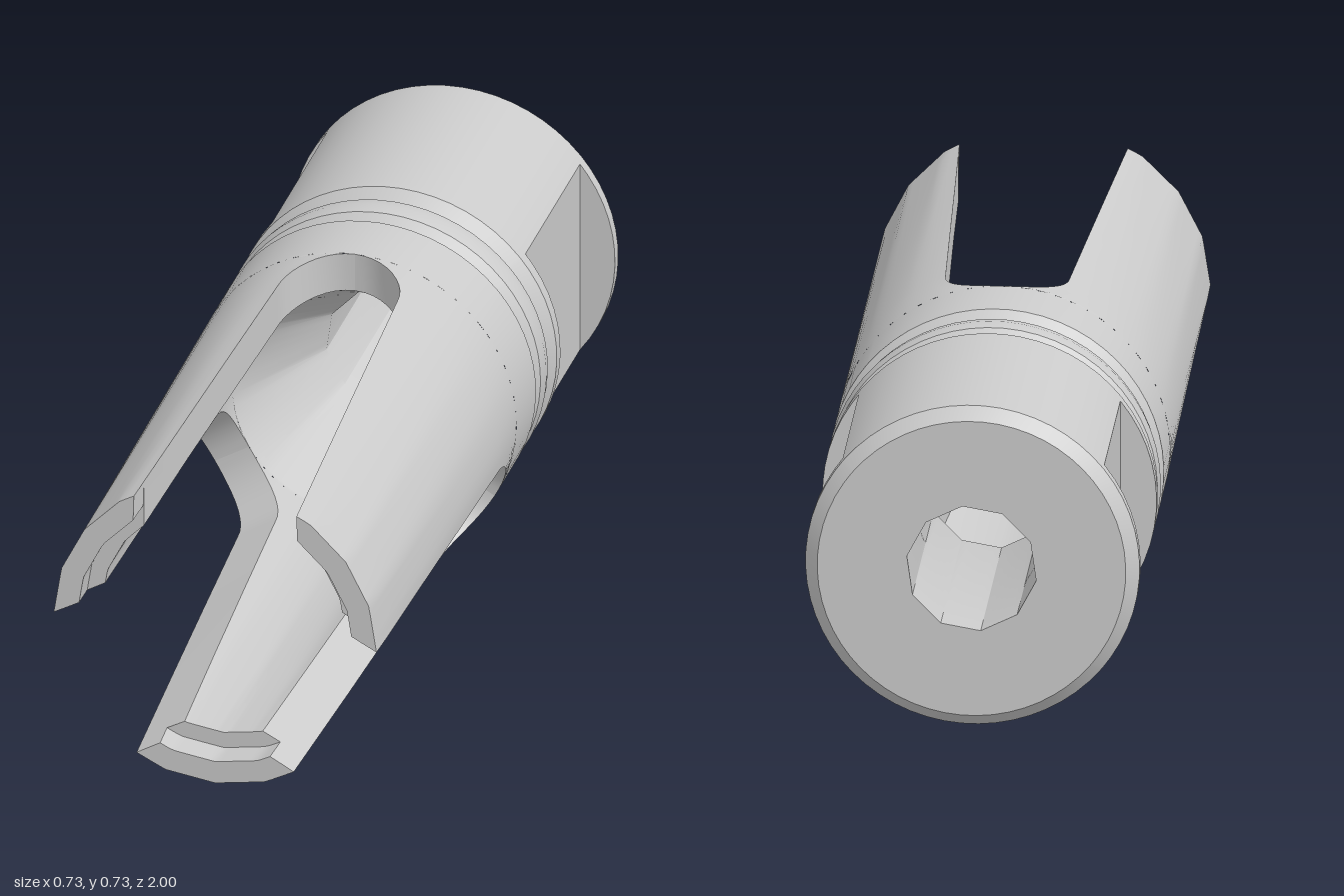
import * as THREE from 'three';
import { toCreasedNormals } from 'three/addons/utils/BufferGeometryUtils.js';

const R = 0.364, BORE = 0.275, RECESS = 0.312, HOLE = 0.143, FLAT = 0.285, SLOT_END = -0.14;
const rad = THREE.MathUtils.degToRad;

// radius at angle t of an n-sided polygon with a corner at angle off
function polyRadius(r, t, n, off) {
  const step = (2 * Math.PI) / n;
  const m = (((t - off) % step) + step) % step;
  return (r * Math.cos(step / 2)) / Math.cos(m - step / 2);
}

// skin a list of closed rings of Vector3
function skin(rings, material) {
  const pos = [];
  const tri = new THREE.Triangle();
  const add = (a, b, c) => {
    if (tri.set(a, b, c).getArea() > 1e-9) for (const p of [a, b, c]) pos.push(p.x, p.y, p.z);
  };
  for (let i = 0; i < rings.length - 1; i++) {
    const n = rings[i].length;
    for (let j = 0; j < n; j++) {
      const k = (j + 1) % n;
      add(rings[i][j], rings[i + 1][j], rings[i][k]);
      add(rings[i + 1][j], rings[i + 1][k], rings[i][k]);
    }
  }
  const geo = new THREE.BufferGeometry();
  geo.setAttribute('position', new THREE.Float32BufferAttribute(pos, 3));
  return new THREE.Mesh(toCreasedNormals(geo, 0.6), material);
}

// half width of a slot: tapering, with a round inner end
function slotHalfWidth(z) {
  if (z >= 0) return 0.135 + 0.05 * z;
  return 0.135 * Math.sqrt(Math.max(0, 1 - (z / SLOT_END) ** 2));
}

function makeBody(material) {
  // ring angles, including the corners of the two wrench flats
  const angles = Array.from({ length: 60 }, (_, i) => rad(4 + 6 * i));
  const c = Math.acos(FLAT / R);
  angles.push(c, Math.PI - c, Math.PI + c, 2 * Math.PI - c);
  angles.sort((a, b) => a - b);

  // [radius, z, kind] from the prong roots, round the back and in through the hole
  const profile = [
    [R, SLOT_END], [R, -0.3], [R - 0.03, -0.33], [R - 0.005, -0.355], [R, -0.385],
    [R - 0.005, -0.415], [R - 0.03, -0.44], [R, -0.47],
    [R, -0.5], [R, -0.5, 'flat'], [R, -0.945, 'flat'], [R, -0.945],
    [R, -0.972], [0.336, -1],
    [HOLE, -1, 'hole'], [HOLE, -0.42, 'hole'], [BORE, -0.15], [BORE, SLOT_END],
  ];
  const rings = profile.map(([r, z, kind]) => angles.map((t) => {
    const q = kind === 'hole' ? polyRadius(r, t, 10, rad(10)) : r;
    let x = q * Math.cos(t);
    if (kind === 'flat') x = THREE.MathUtils.clamp(x, -FLAT, FLAT);
    return new THREE.Vector3(x, q * Math.sin(t), z);
  }));
  return skin(rings, material);
}

function makeProng(start, material) {
  const N = 20;
  const mid = (R + RECESS) / 2;
  // [z, outer radius, inner radius]: front cap, recess step, bore, slot end
  const rows = [[1, mid, mid], [1, R, RECESS], [0.93, R, RECESS], [0.93, R, BORE]];
  for (const z of [0.62, 0.31]) rows.push([z, R, BORE]);
  for (let i = 0; i <= 10; i++) rows.push([SLOT_END * Math.sin((i / 10) * Math.PI / 2), R, BORE]);

  const rings = rows.map(([z, outer, inner]) => {
    const facet = THREE.MathUtils.clamp((z - SLOT_END) / (1 - SLOT_END), 0, 1);
    const arc = (r) => {
      const e = Math.asin(slotHalfWidth(z) / r);
      return Array.from({ length: N + 1 }, (_, j) => {
        const t = start + e + (j / N) * (rad(120) - 2 * e);
        // the prongs turn from round at the root to 20-sided at the tip
        const q = THREE.MathUtils.lerp(r, polyRadius(r, t, 20, 0), facet);
        return new THREE.Vector3(q * Math.cos(t), q * Math.sin(t), z);
      });
    };
    return [...arc(outer), ...arc(inner).reverse()];
  });
  return skin(rings, material);
}

export function createModel() {
  const group = new THREE.Group();
  group.name = 'prongedMuzzleDevice';
  const material = new THREE.MeshStandardMaterial({ color: 0xcccccc });

  // grooved collar with wrench flats and through hole
  const body = makeBody(material);
  body.name = 'body';
  group.add(body);

  // three prongs between the slots
  ['leftwardRightProng', 'lowerProng', 'leftProng'].forEach((_, k) => {
    const prong = makeProng(rad(90 + 120 * k), material);
    prong.name = ['rightProng', 'lowerProng', 'leftProng'][k];
    group.add(prong);
  });

  group.children.forEach((m) => { m.position.y = R; });
  return group;
}
